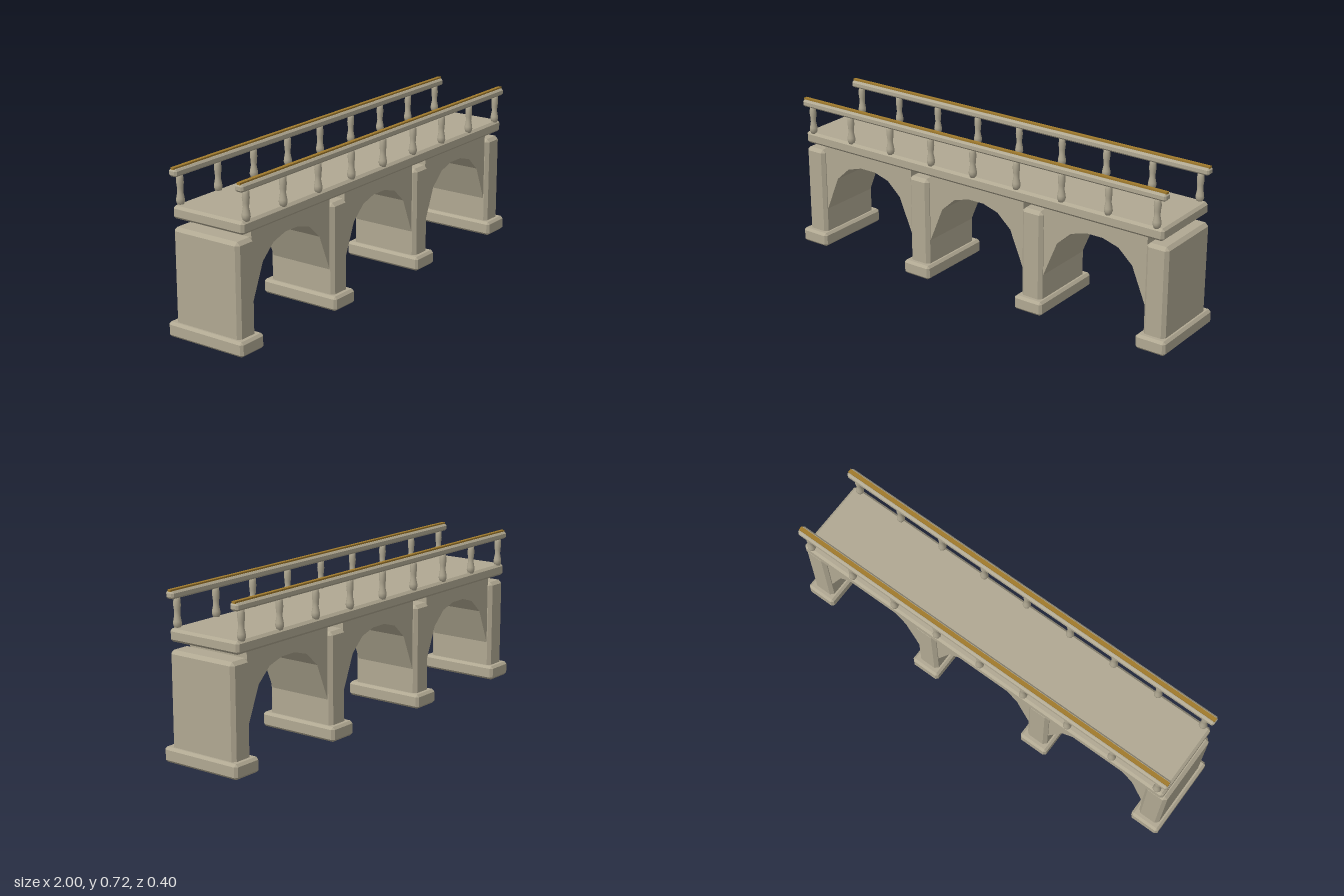
import * as THREE from 'three';
import { ConvexGeometry } from 'three/addons/geometries/ConvexGeometry.js';

// Box with every edge and corner cut by c, centred on the origin
function chamferBox(w, h, d, c) {
  const pts = [];
  for (const x of [-1, 1]) for (const y of [-1, 1]) for (const z of [-1, 1]) {
    const X = x * w / 2, Y = y * h / 2, Z = z * d / 2;
    pts.push(
      new THREE.Vector3(X, Y - y * c, Z - z * c),
      new THREE.Vector3(X - x * c, Y, Z - z * c),
      new THREE.Vector3(X - x * c, Y - y * c, Z));
  }
  return new ConvexGeometry(pts);
}

export function createModel() {
  const stone = new THREE.MeshStandardMaterial({ color: 0xb0a892 });
  stone.name = 'stone';
  const gold = new THREE.MeshStandardMaterial({ color: 0xa07a2c });
  gold.name = 'gold';

  const model = new THREE.Group();
  model.name = 'bridge';
  const add = (name, geometry, material, x, y, z) => {
    const mesh = new THREE.Mesh(geometry, material);
    mesh.name = name;
    mesh.position.set(x, y, z);
    model.add(mesh);
  };

  // Piers on wider footings
  const spacing = 0.618;
  const pierGeo = chamferBox(0.106, 0.43, 0.343, 0.015);
  const footingGeo = chamferBox(0.144, 0.066, 0.396, 0.011);
  for (let i = 0; i < 4; i++) {
    const x = (i - 1.5) * spacing;
    add('pier', pierGeo, stone, x, 0.26, 0);
    add('footing', footingGeo, stone, x, 0.033, 0);
  }

  // Arched spans between the piers
  const half = 0.256;
  const side = [[half, 0.18], [0.187, 0.347], [0.118, 0.41], [0.041, 0.433]];
  const span = new THREE.Shape();
  span.moveTo(-half, 0.51);
  for (const [x, y] of side) span.lineTo(-x, y);
  for (const [x, y] of [...side].reverse()) span.lineTo(x, y);
  span.lineTo(half, 0.51);
  span.closePath();
  const spanGeo = new THREE.ExtrudeGeometry(span, { depth: 0.306, bevelEnabled: false });
  spanGeo.translate(0, 0, -0.153);
  for (let i = -1; i <= 1; i++) add('archSpan', spanGeo, stone, i * spacing, 0, 0);

  // Deck
  add('deck', chamferBox(1.926, 0.055, 0.37, 0.011), stone, 0, 0.5315, 0);

  // Balustrades with a gilded strip on each rail
  const profile = [
    [0, 0.555], [0.013, 0.555], [0.0185, 0.572], [0.0175, 0.584], [0.0125, 0.61],
    [0.0135, 0.63], [0.016, 0.65], [0.015, 0.668], [0.013, 0.69], [0, 0.69],
  ].map(([r, y]) => new THREE.Vector2(r, y));
  const balusterGeo = new THREE.LatheGeometry(profile, 12);
  const railGeo = chamferBox(1.942, 0.032, 0.042, 0.008);
  const stripGeo = new THREE.BoxGeometry(1.936, 0.009, 0.018);
  for (const z of [-0.172, 0.172]) {
    for (let i = 0; i < 9; i++) add('baluster', balusterGeo, stone, (i - 4) * 0.2312, 0, z);
    add('handrail', railGeo, stone, 0, 0.698, z);
    add('railStrip', stripGeo, gold, 0, 0.7165, z);
  }
  return model;
}
